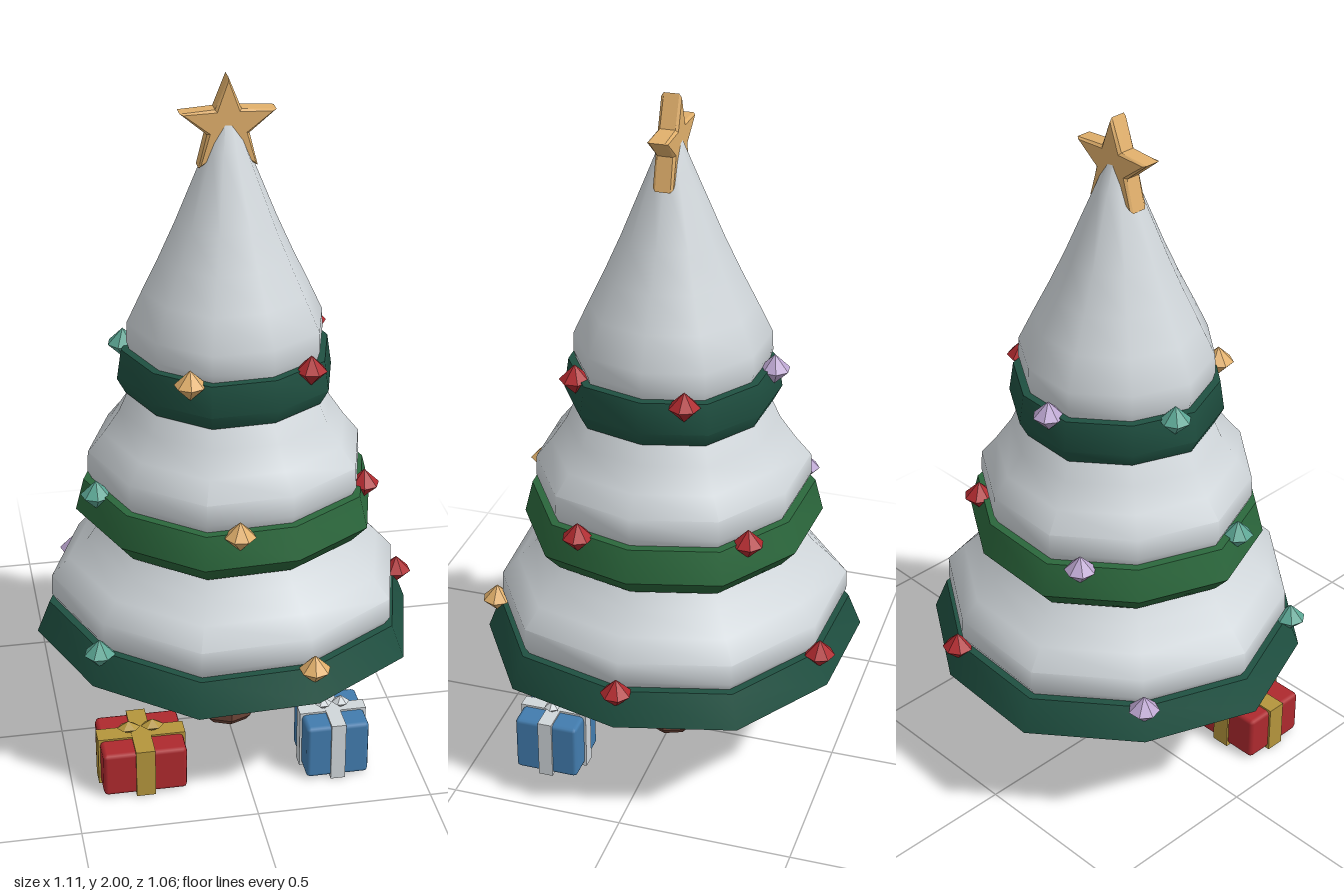
import * as THREE from 'three';
import { toCreasedNormals } from 'three/addons/utils/BufferGeometryUtils.js';
import { RoundedBoxGeometry } from 'three/addons/geometries/RoundedBoxGeometry.js';

const material = (name, color, flatShading = false) => {
  const m = new THREE.MeshStandardMaterial({ color, flatShading });
  m.name = name;
  return m;
};

// Ten-sided lathe whose alternate corners are pulled in slightly
function scallopedLathe(profile, pull = 0.965) {
  const points = profile.map(([r, y]) => new THREE.Vector2(r, y));
  const geo = new THREE.LatheGeometry(points, 10, Math.PI / 2);
  const pos = geo.attributes.position;
  for (let i = 0; i < pos.count; i++) {
    const corner = Math.floor(i / points.length);
    const k = corner % 2 === 0 ? pull : 1;
    pos.setXYZ(i, pos.getX(i) * k, pos.getY(i), pos.getZ(i) * k);
  }
  return toCreasedNormals(geo, 0.9);
}

export function createModel() {
  const model = new THREE.Group();
  model.name = 'decoratedTree';

  const pine = material('dark green', 0x1f5041);
  const leaf = material('mid green', 0x2b673c);
  const snow = material('snow', 0xd0d6da);
  const bark = material('bark brown', 0x6b4336);
  const gold = material('warm gold', 0xe0af6b);
  const red = material('red', 0xae292e);
  const teal = material('teal', 0x5ba593);
  const lilac = material('lilac', 0xbca6d0);
  const blue = material('blue', 0x427cae);
  const brass = material('ribbon gold', 0xb4953c);

  const add = (parent, name, geo, mat, x = 0, y = 0, z = 0) => {
    const mesh = new THREE.Mesh(geo, mat);
    mesh.name = name;
    mesh.position.set(x, y, z);
    parent.add(mesh);
    return mesh;
  };

  // Trunk with a small bevel at the foot
  const trunkProfile = [[0, 0.01], [0.07, 0.01], [0.086, 0.03], [0.086, 0.3]];
  const trunkGeo = new THREE.LatheGeometry(
    trunkProfile.map(([r, y]) => new THREE.Vector2(r, y)), 8, Math.PI / 2);
  add(model, 'trunk', toCreasedNormals(trunkGeo, 0.5), bark);

  // Branch tiers: green skirt, snow cap and ornament ring
  const tiers = [
    {
      mat: pine,
      skirt: [[0, 0.25], [0.375, 0.25], [0.558, 0.36], [0.52, 0.455], [0.4, 0.46]],
      snow: [[0.4, 0.45], [0.495, 0.452], [0.512, 0.48], [0.51, 0.54], [0.46, 0.595], [0.405, 0.65], [0.365, 0.71], [0.33, 0.76]],
      beads: { r: 0.51, y: 0.455, start: 0 },
    },
    {
      mat: leaf,
      skirt: [[0, 0.70], [0.388, 0.70], [0.434, 0.752], [0.41, 0.845], [0.3, 0.85]],
      snow: [[0.3, 0.84], [0.385, 0.843], [0.398, 0.87], [0.395, 0.93], [0.35, 0.985], [0.305, 1.05], [0.278, 1.11], [0.24, 1.16]],
      beads: { r: 0.395, y: 0.84, start: 23 },
    },
    {
      mat: pine,
      skirt: [[0, 1.105], [0.285, 1.105], [0.308, 1.148], [0.295, 1.235], [0.2, 1.24]],
      snow: [[0.2, 1.23], [0.272, 1.233], [0.28, 1.26], [0.278, 1.315], [0.235, 1.405], [0.188, 1.5], [0.142, 1.6], [0.058, 1.8], [0, 1.94]],
      beads: { r: 0.288, y: 1.23, start: 48 },
    },
  ];
  const beadGeo = toCreasedNormals(new THREE.SphereGeometry(0.044, 7, 2), 0.3);
  const beadMats = [red, gold, teal, lilac, red];
  tiers.forEach((tier, i) => {
    const group = new THREE.Group();
    group.name = `tier${i + 1}`;
    add(group, 'branches', scallopedLathe(tier.skirt), tier.mat);
    add(group, 'snowCap', scallopedLathe(tier.snow), snow);
    const { r, y, start } = tier.beads;
    beadMats.forEach((mat, j) => {
      const a = THREE.MathUtils.degToRad(start + 72 * j);
      const bead = add(group, 'ornament', beadGeo, mat, r * Math.cos(a), y, r * Math.sin(a));
      bead.rotation.y = -a;
    });
    model.add(group);
  });

  // Star topper
  const starShape = new THREE.Shape();
  for (let i = 0; i < 10; i++) {
    const r = i % 2 ? 0.055 : 0.13;
    const a = Math.PI / 2 + (i * Math.PI) / 5;
    starShape[i ? 'lineTo' : 'moveTo'](r * Math.cos(a), r * Math.sin(a));
  }
  starShape.closePath();
  const starGeo = new THREE.ExtrudeGeometry(starShape, {
    depth: 0.042, bevelEnabled: true, bevelThickness: 0.007,
    bevelSize: 0.007, bevelOffset: -0.003, bevelSegments: 1,
  });
  starGeo.translate(0, 0, -0.021);
  add(model, 'star', starGeo, gold, 0, 1.862, 0);

  // Wrapped gifts: box, two crossing ribbons and a two-loop bow
  const gift = (name, x, z, w, h, d, ribbonWidth, boxMat, ribbonMat) => {
    const t = 0.006;
    const group = new THREE.Group();
    group.name = name;
    group.position.set(x, 0, z);
    add(group, 'box', new RoundedBoxGeometry(w - 2 * t, h - 2 * t, d - 2 * t, 1, 0.012), boxMat, 0, h / 2);
    add(group, 'ribbonFrontToBack', new THREE.BoxGeometry(ribbonWidth, h, d), ribbonMat, 0, h / 2);
    add(group, 'ribbonSideToSide', new THREE.BoxGeometry(w, h - 0.001, ribbonWidth), ribbonMat, 0, h / 2);
    const loopGeo = toCreasedNormals(new THREE.SphereGeometry(1, 6, 2), 0.3);
    for (const side of [-1, 1]) {
      const loop = add(group, 'bowLoop', loopGeo, ribbonMat, side * ribbonWidth * 0.62, h + 0.016, 0);
      loop.scale.set(ribbonWidth * 0.62, 0.02, 0.024);
    }
    model.add(group);
  };
  gift('redGift', -0.297, 0.25, 0.252, 0.148, 0.215, 0.055, red, brass);
  gift('blueGift', 0.258, 0.275, 0.194, 0.18, 0.2, 0.042, blue, snow);

  return model;
}
